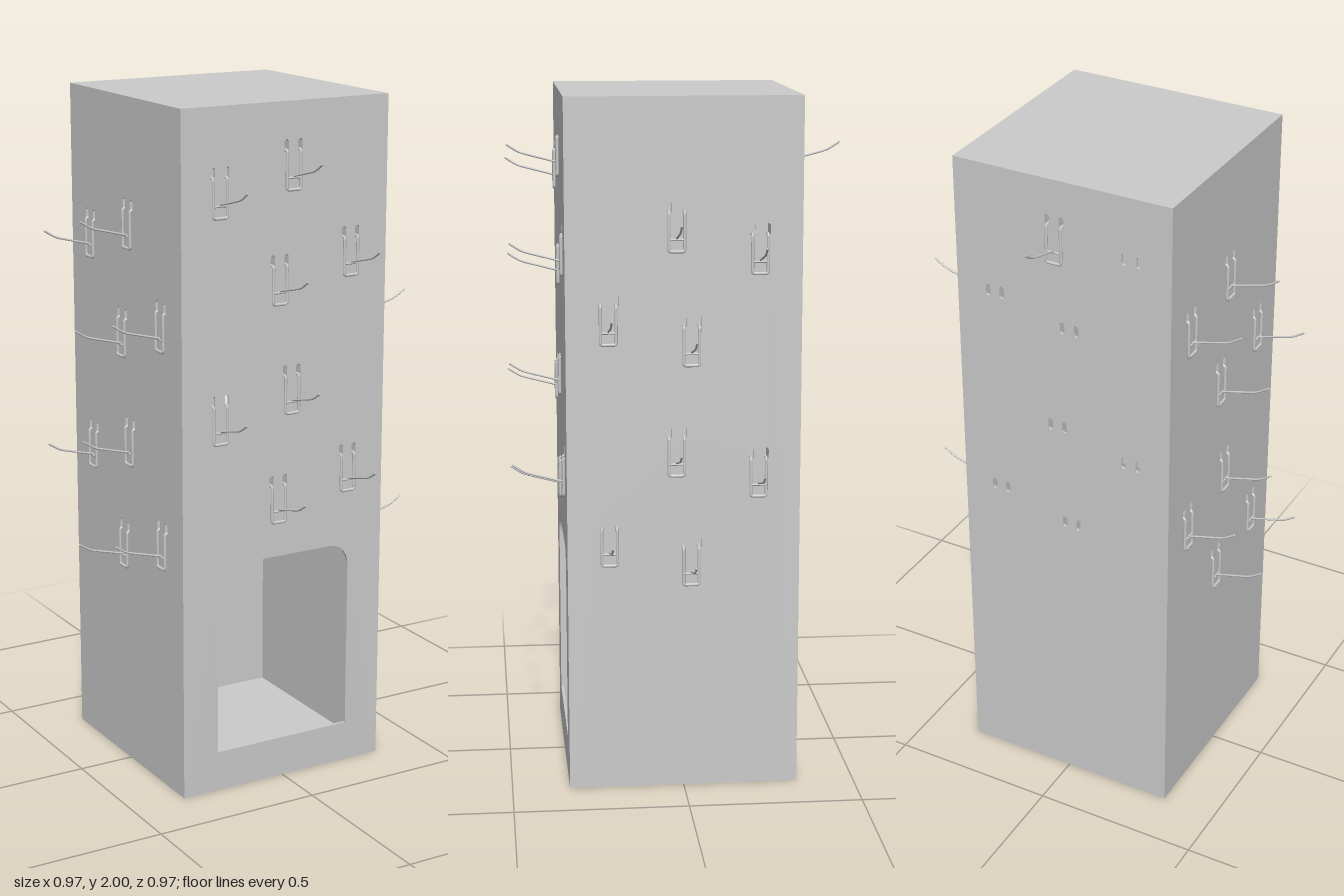
import * as THREE from 'three';

const HALF = 0.333, HEIGHT = 2, T = 0.008;
const PRONG = 0.022; // half distance between the prongs of one hook
const mat = new THREE.MeshStandardMaterial({ color: 0xcccccc, side: THREE.DoubleSide });

// Hook positions [across, base height]; the pattern repeats lower down
const repeat = (list) => [...list, ...list.map(([a, y]) => [a, y - 0.64])];
const frontSpots = repeat([[-0.213, 1.69], [0.021, 1.75], [-0.021, 1.43], [0.213, 1.49]]);
const sideSpots = repeat([[0.021, 1.567], [-0.213, 1.503], [0.213, 1.307], [-0.021, 1.245]]);
const flip = (list) => list.map(([a, y]) => [-a, y]);

function mesh(geometry, name) {
  const m = new THREE.Mesh(geometry, mat);
  m.name = name;
  return m;
}

// Wire through points, with rounded bends
function wire(points, radius, bend, segments, name) {
  const p = points.map((a) => new THREE.Vector3(...a));
  const path = new THREE.CurvePath();
  let from = p[0];
  for (let i = 1; i < p.length - 1; i++) {
    const a = p[i].clone().add(p[i - 1].clone().sub(p[i]).setLength(bend));
    const b = p[i].clone().add(p[i + 1].clone().sub(p[i]).setLength(bend));
    path.add(new THREE.LineCurve3(from, a));
    path.add(new THREE.QuadraticBezierCurve3(a, p[i], b));
    from = b;
  }
  path.add(new THREE.LineCurve3(from, p[p.length - 1]));
  return mesh(new THREE.TubeGeometry(path, segments, radius, 8), name);
}

// Upright slot with round ends
function slot(x, y, w, h) {
  const r = w / 2, s = h / 2 - r;
  const hole = new THREE.Path();
  hole.absarc(x, y + s, r, 0, Math.PI, false);
  hole.absarc(x, y - s, r, Math.PI, Math.PI * 2, false);
  hole.closePath();
  return hole;
}

// Doorway with rounded upper corners
function doorway() {
  const w = 0.22, y0 = 0.12, y1 = 0.69, r = 0.065;
  const hole = new THREE.Path();
  hole.moveTo(-w, y0);
  hole.lineTo(w, y0);
  hole.lineTo(w, y1 - r);
  hole.absarc(w - r, y1 - r, r, 0, Math.PI / 2, false);
  hole.absarc(-w + r, y1 - r, r, Math.PI / 2, Math.PI, false);
  hole.closePath();
  return hole;
}

// Wall panel facing local +z, pierced by a pair of slots per hook
function panel(half, spots, name, opening) {
  const shape = new THREE.Shape();
  shape.moveTo(-half, T);
  shape.lineTo(half, T);
  shape.lineTo(half, HEIGHT - T);
  shape.lineTo(-half, HEIGHT - T);
  shape.closePath();
  for (const [x, y] of spots)
    for (const s of [-1, 1]) shape.holes.push(slot(x + s * PRONG, y + 0.127, 0.014, 0.036));
  if (opening) shape.holes.push(opening);
  const geo = new THREE.ExtrudeGeometry(shape, { depth: T, bevelEnabled: false, curveSegments: 8 });
  geo.translate(0, 0, HALF - T);
  return mesh(geo, name);
}

// Wire hook: U frame hung in two slots, crossbar and rising arm
function hook([x, y]) {
  const g = new THREE.Group();
  g.name = 'hook';
  const r = 0.0045, up = 0.115;
  g.add(wire([
    [-PRONG, up, -0.02], [-PRONG, up, r], [-PRONG, r, r],
    [PRONG, r, r], [PRONG, up, r], [PRONG, up, -0.02],
  ], r, 0.007, 72, 'hookFrame'));
  g.add(wire([[-PRONG, 0.038, r], [PRONG, 0.038, r]], 0.0035, 0, 1, 'hookCrossbar'));
  g.add(wire([[0, 0.042, r], [0, 0.071, 0.115], [0, 0.093, 0.149]], 0.003, 0.015, 20, 'hookArm'));
  const tip = mesh(new THREE.SphereGeometry(0.003, 8, 6), 'hookTip');
  tip.position.set(0, 0.093, 0.149);
  g.add(tip);
  g.position.set(x, y, HALF);
  return g;
}

export function createModel() {
  const model = new THREE.Group();
  model.name = 'displayTower';

  // Four walls, each with its hooks
  const inner = HALF - T;
  const walls = [
    { name: 'front', turn: 0, half: HALF, spots: frontSpots, hooks: frontSpots, opening: doorway() },
    { name: 'back', turn: Math.PI, half: HALF, spots: flip(frontSpots), hooks: [[-0.021, 1.75]] },
    { name: 'left', turn: Math.PI / 2, half: inner, spots: flip(sideSpots), hooks: flip(sideSpots) },
    { name: 'right', turn: -Math.PI / 2, half: inner, spots: sideSpots, hooks: sideSpots },
  ];
  for (const w of walls) {
    const wall = new THREE.Group();
    wall.name = w.name + 'Wall';
    wall.add(panel(w.half, w.spots, w.name + 'Panel', w.opening));
    for (const spot of w.hooks) wall.add(hook(spot));
    wall.rotation.y = w.turn;
    model.add(wall);
  }

  // Floor and lid
  for (const [name, y] of [['floor', T / 2], ['lid', HEIGHT - T / 2]]) {
    const plate = mesh(new THREE.BoxGeometry(HALF * 2, T, HALF * 2), name);
    plate.position.y = y;
    model.add(plate);
  }
  return model;
}
